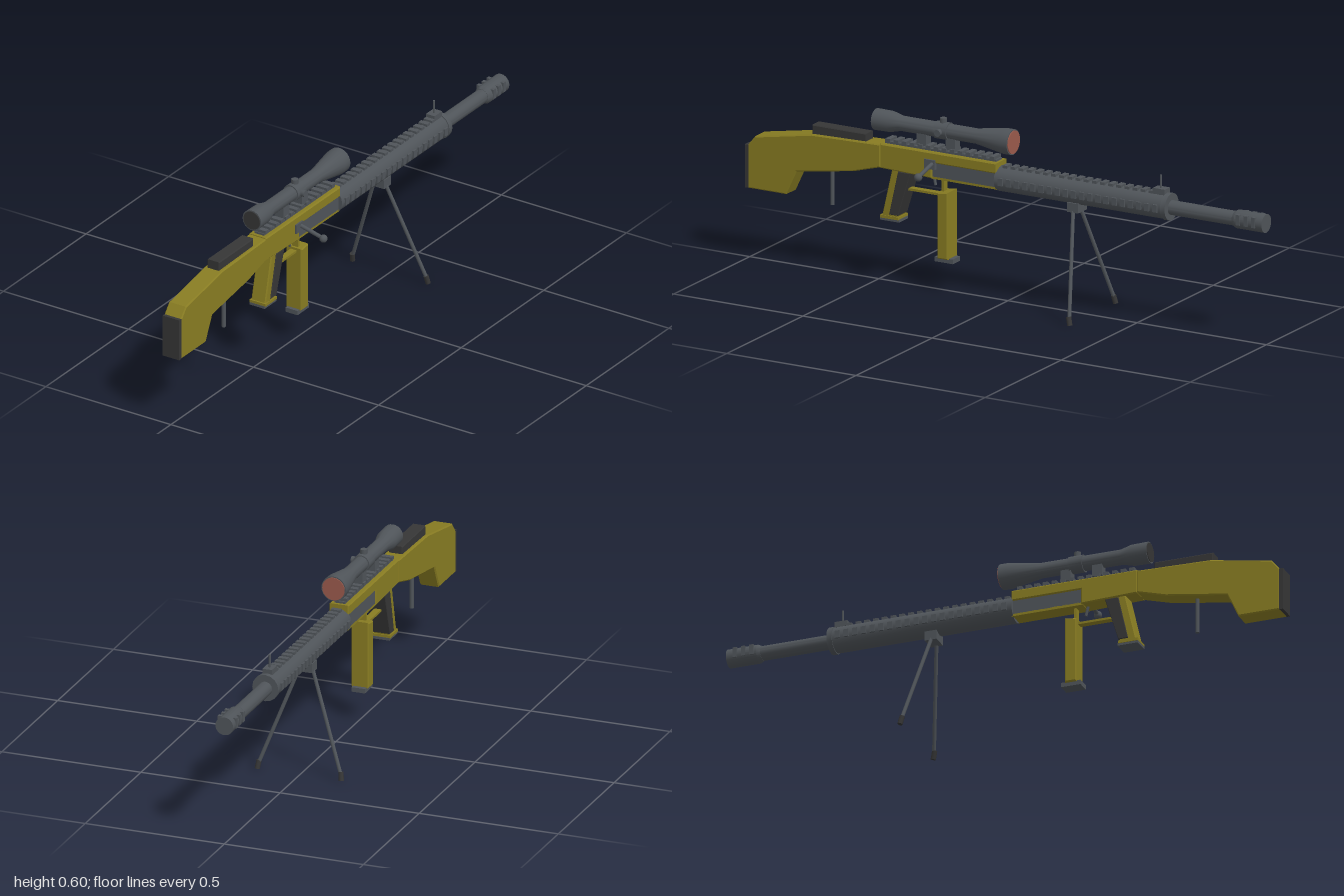
import * as THREE from 'three';
import { toCreasedNormals } from 'three/addons/utils/BufferGeometryUtils.js';

const material = (name, color) => Object.assign(new THREE.MeshStandardMaterial({ color }), { name });

export function createModel() {
  const olive = material('olive', 0x887c22);
  const steel = material('steel', 0x4f5459);
  const rubber = material('rubber', 0x363636);
  const lens = material('red lens', 0x9a5a4c);
  const model = new THREE.Group();
  model.name = 'rifle';

  const add = (name, geometry, mat) => {
    const mesh = new THREE.Mesh(geometry, mat);
    mesh.name = name;
    model.add(mesh);
    return mesh;
  };
  // Box given by its limits on each axis
  const box = (name, mat, [x0, x1], [y0, y1], [z0, z1]) => {
    const g = new THREE.BoxGeometry(x1 - x0, y1 - y0, z1 - z0);
    g.translate((x0 + x1) / 2, (y0 + y1) / 2, (z0 + z1) / 2);
    return add(name, g, mat);
  };
  // Side profile of [z, y] points, extruded across x with a small bevel
  const slab = (name, mat, points, width, bevel = 0.004) => {
    const shape = new THREE.Shape(points.map(([z, y]) => new THREE.Vector2(z, y)));
    const g = new THREE.ExtrudeGeometry(shape, {
      depth: width - 2 * bevel, bevelEnabled: bevel > 0, bevelThickness: bevel,
      bevelSize: bevel, bevelOffset: -bevel, bevelSegments: 1,
    });
    g.translate(0, 0, bevel - width / 2).rotateY(-Math.PI / 2);
    return add(name, g, mat);
  };
  // Turned part along z from [radius, z] points, z rising
  const turned = (name, mat, points, y, sides = 24) => {
    const g = new THREE.LatheGeometry(points.map(([r, z]) => new THREE.Vector2(r, z)), sides);
    g.rotateX(Math.PI / 2).translate(0, y, 0);
    return add(name, toCreasedNormals(g, 0.5), mat);
  };
  // Straight rod between two points
  const rod = (name, mat, from, to, radius, sides = 12) => {
    const a = new THREE.Vector3(...from), b = new THREE.Vector3(...to);
    const mesh = add(name, new THREE.CylinderGeometry(radius, radius, a.distanceTo(b), sides), mat);
    mesh.position.copy(a).lerp(b, 0.5);
    mesh.quaternion.setFromUnitVectors(new THREE.Vector3(0, 1, 0), b.sub(a).normalize());
    return mesh;
  };

  // Stock, butt pad, cheek rest and rear support
  slab('stock', olive, [[0.475, 0.4], [0.58, 0.37], [0.8, 0.335], [0.84, 0.25], [0.988, 0.25],
    [0.988, 0.4], [0.96, 0.434], [0.74, 0.474], [0.475, 0.48]], 0.07);
  box('buttPad', rubber, [-0.033, 0.033], [0.25, 0.4], [0.985, 1]);
  slab('cheekRest', rubber, [[0.535, 0.47], [0.745, 0.47], [0.745, 0.505], [0.535, 0.505]], 0.048, 0.003);
  rod('rearSupport', steel, [0, 0.36, 0.68], [0, 0.23, 0.68], 0.007);

  // Receiver with the action exposed on both sides
  slab('receiver', olive, [[0.025, 0.446], [0.275, 0.446], [0.275, 0.392], [0.477, 0.398],
    [0.477, 0.483], [0.025, 0.483]], 0.07);
  box('action', steel, [-0.03, 0.03], [0.398, 0.447], [0.025, 0.28]);
  box('receiverFloor', olive, [-0.03, 0.03], [0.39, 0.4], [0.025, 0.28]);

  // Top rail over the receiver
  box('topRail', steel, [-0.019, 0.019], [0.48, 0.49], [0.035, 0.465]);
  for (let i = 0; i < 14; i++) {
    const z = 0.05 + i * 0.031;
    box('railTooth', steel, [-0.023, 0.023], [0.488, 0.5], [z - 0.009, z + 0.009]);
  }

  // Bolt and handle
  box('boltShroud', steel, [0.028, 0.041], [0.425, 0.458], [0.26, 0.302]);
  rod('boltHandle', steel, [0.036, 0.445, 0.272], [0.13, 0.421, 0.272], 0.007);
  const knob = add('boltKnob', new THREE.SphereGeometry(0.014, 16, 12), steel);
  knob.position.set(0.129, 0.421, 0.272);

  // Handguard with rails on the top and both sides
  turned('handguard', steel, [[0, -0.628], [0.044, -0.628], [0.044, 0.03], [0, 0.03]], 0.424, 16);
  turned('handguardCap', steel, [[0, -0.633], [0.047, -0.633], [0.047, -0.615], [0, -0.615]], 0.424, 16);
  for (let i = 0; i < 20; i++) {
    const z = -0.595 + i * 0.0315;
    const span = [z - 0.009, z + 0.009];
    box('topTooth', steel, [-0.017, 0.017], [0.46, 0.474], span);
    for (const s of [-1, 1]) {
      box('sideTooth', steel, [s * 0.0435 - 0.005, s * 0.0435 + 0.005], [0.411, 0.437], span);
    }
  }

  // Barrel and muzzle brake with raised fins
  turned('barrel', steel, [[0, -0.9], [0.025, -0.9], [0.025, -0.6], [0, -0.6]], 0.422);
  turned('muzzleBrake', steel, [[0, -1], [0.032, -1], [0.032, -0.892], [0.026, -0.88], [0, -0.88]], 0.422);
  for (const z of [-0.968, -0.938, -0.908]) {
    box('brakeFin', steel, [-0.034, 0.034], [0.41, 0.446], [z - 0.007, z + 0.007]);
  }

  // Front sight
  box('frontSightBase', steel, [-0.017, 0.017], [0.465, 0.485], [-0.616, -0.57]);
  rod('frontSightPost', steel, [0, 0.48, -0.592], [0, 0.53, -0.592], 0.004);

  // Scope, mounts, turrets and lenses
  turned('scope', steel, [[0, -0.02], [0.044, -0.02], [0.044, 0.01], [0.026, 0.12], [0.026, 0.41],
    [0.036, 0.45], [0.037, 0.51], [0, 0.51]], 0.555);
  turned('frontLens', lens, [[0, -0.023], [0.04, -0.023], [0.04, -0.019], [0, -0.019]], 0.555);
  turned('rearLens', rubber, [[0, 0.509], [0.033, 0.509], [0.033, 0.512], [0, 0.512]], 0.555);
  turned('scopeBand', steel, [[0.02, 0.225], [0.03, 0.225], [0.03, 0.275], [0.02, 0.275]], 0.555);
  rod('topTurret', steel, [0, 0.56, 0.25], [0, 0.599, 0.25], 0.012);
  rod('sideTurret', steel, [0, 0.555, 0.25], [0.043, 0.555, 0.25], 0.012);
  for (const z of [0.326, 0.214]) {
    box('scopeMount', steel, [-0.017, 0.017], [0.495, 0.536], [z - 0.018, z + 0.018]);
  }

  // Pistol grip with side panels and base plate
  slab('grip', olive, [[0.432, 0.405], [0.362, 0.405], [0.412, 0.232], [0.472, 0.232]], 0.058);
  slab('gripPanels', rubber, [[0.408, 0.395], [0.36, 0.395], [0.408, 0.24], [0.443, 0.24]], 0.064, 0.002);
  box('gripBase', steel, [-0.03, 0.03], [0.217, 0.226], [0.405, 0.478]);
  box('gripHeel', olive, [-0.032, 0.032], [0.225, 0.235], [0.407, 0.477]);

  // Trigger and guard
  rod('trigger', steel, [0, 0.41, 0.292], [0, 0.36, 0.28], 0.005);
  box('triggerGuard', olive, [-0.012, 0.012], [0.329, 0.337], [0.225, 0.385]);
  box('guardPost', olive, [-0.012, 0.012], [0.33, 0.395], [0.241, 0.25]);

  // Magazine
  slab('magazine', olive, [[0.215, 0.115], [0.257, 0.115], [0.257, 0.345], [0.215, 0.35]], 0.064);
  box('magazineBase', steel, [-0.024, 0.024], [0.102, 0.118], [0.2, 0.27]);

  // Bipod
  box('bipodMount', steel, [-0.03, 0.03], [0.355, 0.388], [-0.288, -0.245]);
  for (const s of [-1, 1]) {
    rod('bipodLeg', steel, [s * 0.022, 0.365, -0.265], [s * 0.15, 0.015, -0.325], 0.0065);
    rod('bipodFoot', rubber, [s * 0.147, 0.031, -0.321], [s * 0.151, 0.002, -0.328], 0.009);
  }
  return model;
}
